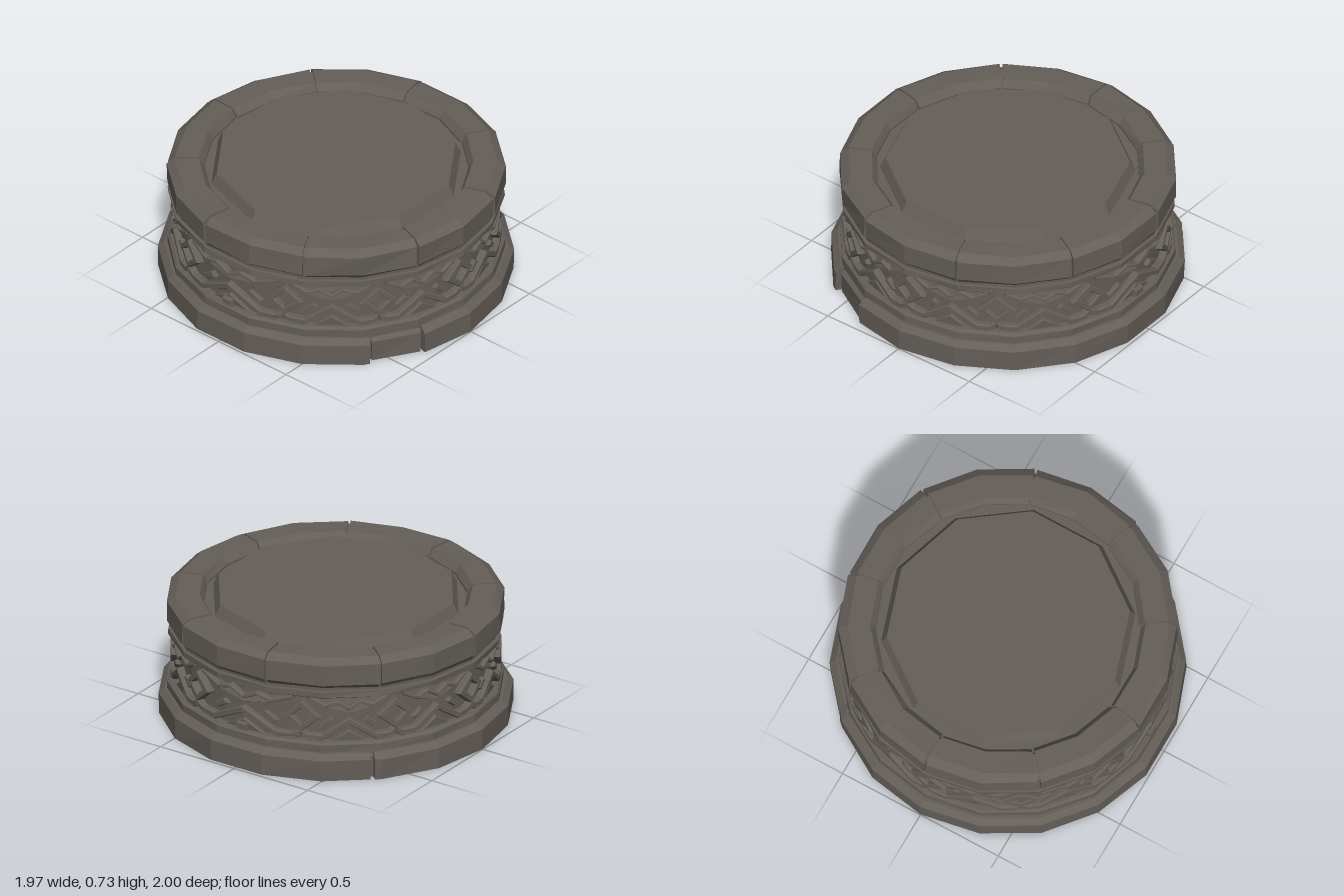
import * as THREE from 'three';

const stone = new THREE.MeshStandardMaterial({ color: 0x645e58 });
stone.name = 'weathered stone';

const RAD = Math.PI / 180;

// Small seeded generator for the chiselled unevenness
let seed = 7;
const rand = () => (seed = (seed * 16807) % 2147483647) / 2147483647;

function add(group, name, geometry) {
  const mesh = new THREE.Mesh(geometry, stone);
  mesh.name = name;
  group.add(mesh);
  return mesh;
}

// Sweeps a closed counterclockwise profile [radius, y] along a polygonal ring
// from angle a0 to a1 (degrees, 0 = front, 90 = left); open sections get end caps.
function section(profile, a0 = 0, a1 = 360, step = 20, wobble = 0) {
  const angles = [a0];
  for (let a = Math.floor(a0 / step + 1) * step; a < a1 - 0.01; a += step) angles.push(a);
  angles.push(a1);
  const full = a1 - a0 === 360;
  const rows = angles.map((a) => {
    const off = a - (Math.floor(a / step) + 0.5) * step;
    const k = Math.cos(step / 2 * RAD) / Math.cos(off * RAD);
    return profile.map(([r, y]) => {
      const rr = r * k - rand() * wobble;
      const yy = y > 0.01 ? y - rand() * wobble * 0.5 : y;
      return [Math.sin(a * RAD) * rr, yy, Math.cos(a * RAD) * rr];
    });
  });
  if (full) rows[rows.length - 1] = rows[0];
  const pos = [];
  const tri = (...pts) => pts.forEach((p) => pos.push(...p));
  const n = profile.length;
  for (let j = 0; j < rows.length - 1; j++) {
    for (let i = 0; i < n; i++) {
      const a = rows[j][i], b = rows[j + 1][i];
      const c = rows[j + 1][(i + 1) % n], d = rows[j][(i + 1) % n];
      tri(a, b, c);
      tri(a, c, d);
    }
  }
  if (!full) {
    const s = rows[0], e = rows[rows.length - 1];
    for (let i = 1; i < n - 1; i++) {
      tri(s[0], s[i], s[i + 1]);
      tri(e[0], e[i + 1], e[i]);
    }
  }
  const g = new THREE.BufferGeometry();
  g.setAttribute('position', new THREE.Float32BufferAttribute(pos, 3));
  g.computeVertexNormals();
  return g;
}

const toShape = (pts) => new THREE.Shape(pts.map(([x, y]) => new THREE.Vector2(x, y)));

// Extrudes a flat carving and wraps it round the drum at the given angle
function carving(shape, angle, depth = 0.045) {
  const R = 0.865;
  const g = new THREE.ExtrudeGeometry(shape, {
    depth, bevelEnabled: true, bevelThickness: 0.012, bevelSize: 0.006, bevelOffset: -0.006, bevelSegments: 1,
  });
  const p = g.attributes.position;
  for (let i = 0; i < p.count; i++) {
    const t = p.getX(i) / 0.9 + angle * RAD, r = R + p.getZ(i);
    p.setXYZ(i, Math.sin(t) * r, p.getY(i), Math.cos(t) * r);
  }
  g.computeVertexNormals();
  return g;
}

// Zigzag strip with vertical thickness t
const zigzag = (pts, t) => toShape([...pts, ...pts.map(([x, y]) => [x, y + t]).reverse()]);

const diamond = (w, h, y) => [[0, y - h], [w, y], [0, y + h], [-w, y]];

export function createModel() {
  const model = new THREE.Group();
  model.name = 'stonePedestal';

  // Base course: two long blocks and one short block set slightly inward
  const base = new THREE.Group();
  base.name = 'base';
  model.add(base);
  const baseProfile = (r) => [[0, 0], [r, 0], [r, 0.125], [r - 0.035, 0.155], [0, 0.155]];
  add(base, 'baseCore', section(baseProfile(0.955)));
  const wedge = (r) => baseProfile(r).map(([x, y]) => [Math.max(x, 0.7), y]);
  add(base, 'baseBlockLeft', section(wedge(1), -19, 136, 20, 0.007));
  add(base, 'baseBlockBack', section(wedge(1), 137.5, 322, 20, 0.007));
  add(base, 'baseBlockInset', section(wedge(0.975), -37, -19.8, 20, 0.006));

  // Drum and the thin mouldings above and below the frieze
  add(model, 'drum', section([[0, 0.15], [0.886, 0.15], [0.886, 0.6], [0, 0.6]], 0, 360, 10));
  add(model, 'lowerMoulding', section([[0.8, 0.14], [0.95, 0.14], [0.95, 0.2], [0.935, 0.212], [0.8, 0.215]], 0, 360, 20, 0.008));
  add(model, 'upperMoulding', section([[0.8, 0.48], [0.935, 0.485], [0.945, 0.492], [0.945, 0.525], [0.8, 0.53]], 0, 360, 20, 0.008));
  add(model, 'rimFillet', section([[0.8, 0.52], [0.92, 0.52], [0.92, 0.56], [0.8, 0.56]]));

  // Rim: nine bevelled blocks with narrow joints over a recessed core
  const rim = new THREE.Group();
  rim.name = 'rim';
  model.add(rim);
  add(rim, 'rimCore', section([[0.76, 0.56], [0.925, 0.56], [0.925, 0.68], [0.89, 0.708], [0.78, 0.708], [0.76, 0.67]]));
  const rimProfile = [[0.745, 0.545], [0.93, 0.545], [0.952, 0.57], [0.952, 0.69], [0.905, 0.723], [0.775, 0.722], [0.745, 0.68]];
  for (let a = 20; a < 380; a += 40) {
    add(rim, 'rimBlock', section(rimProfile, a + 0.5, a + 39.5, 20, 0.01));
  }

  // Ten-sided top slab standing in a shallow groove
  add(model, 'grooveFloor', section([[0, 0.58], [0.8, 0.58], [0.8, 0.665], [0, 0.665]]));
  const slab = new THREE.CylinderGeometry(0.685, 0.72, 0.07, 10, 1, false, Math.PI / 10).toNonIndexed();
  slab.computeVertexNormals();
  add(model, 'topSlab', slab).position.y = 0.692;

  // Carved frieze
  const frieze = new THREE.Group();
  frieze.name = 'frieze';
  model.add(frieze);
  const stops = [0, 33.75, 67.5, 112.5, 146.25, 180, 213.75, 247.5, 292.5, 326.25, 360];
  for (let i = 0; i < 10; i++) {
    const a = stops[i], mid = (a + stops[i + 1]) / 2;
    const h = (stops[i + 1] - a) / 2 * RAD * 0.9;

    // Open diamond with a raised frame
    const frame = toShape(diamond(0.11, 0.095, 0.36));
    frame.holes.push(new THREE.Path(diamond(0.056, 0.048, 0.36).reverse().map(([x, y]) => new THREE.Vector2(x, y))));
    add(frieze, 'diamondFrame', carving(frame, a, 0.05));

    // Zigzag strip along the bottom, peaking between diamonds
    add(frieze, 'lowerZigzag', carving(zigzag([
      [-h, 0.235], [-h * 0.84, 0.212], [-h * 0.58, 0.212], [0, 0.315], [h * 0.58, 0.212], [h * 0.84, 0.212], [h, 0.235],
    ], 0.042), mid, 0.048));
    add(frieze, 'lowerTriangle', carving(toShape([[-h * 0.36, 0.21], [h * 0.36, 0.21], [0, 0.275]]), mid, 0.03));

    // Hanging tooth and a finer zigzag along the top
    add(frieze, 'upperTooth', carving(toShape([
      [-h + 0.05, 0.485], [-h + 0.085, 0.44], [-h * 0.45, 0.405], [0, 0.375], [h * 0.45, 0.405], [h - 0.085, 0.44], [h - 0.05, 0.485],
    ]), mid, 0.028));
    add(frieze, 'upperZigzag', carving(zigzag([
      [-h + 0.04, 0.462], [-h * 0.5, 0.415], [-h * 0.25, 0.44], [0, 0.4], [h * 0.25, 0.44], [h * 0.5, 0.415], [h - 0.04, 0.462],
    ], 0.026), mid, 0.046));

    // Small slanted bars between diamond and peak
    for (const s of [-1, 1]) {
      const bar = [[s * h * 0.3, 0.335], [s * h * 0.52, 0.29], [s * h * 0.62, 0.31], [s * h * 0.4, 0.358]];
      add(frieze, 'slantedBar', carving(toShape(s > 0 ? bar : bar.reverse()), mid, 0.034));
    }
  }

  // Small blocks at the two sides
  for (const a of [90, 270]) {
    add(frieze, 'sideBlock', carving(toShape([[-0.035, 0.21], [0.035, 0.21], [0.035, 0.255], [-0.035, 0.255]]), a, 0.055));
  }

  return model;
}
